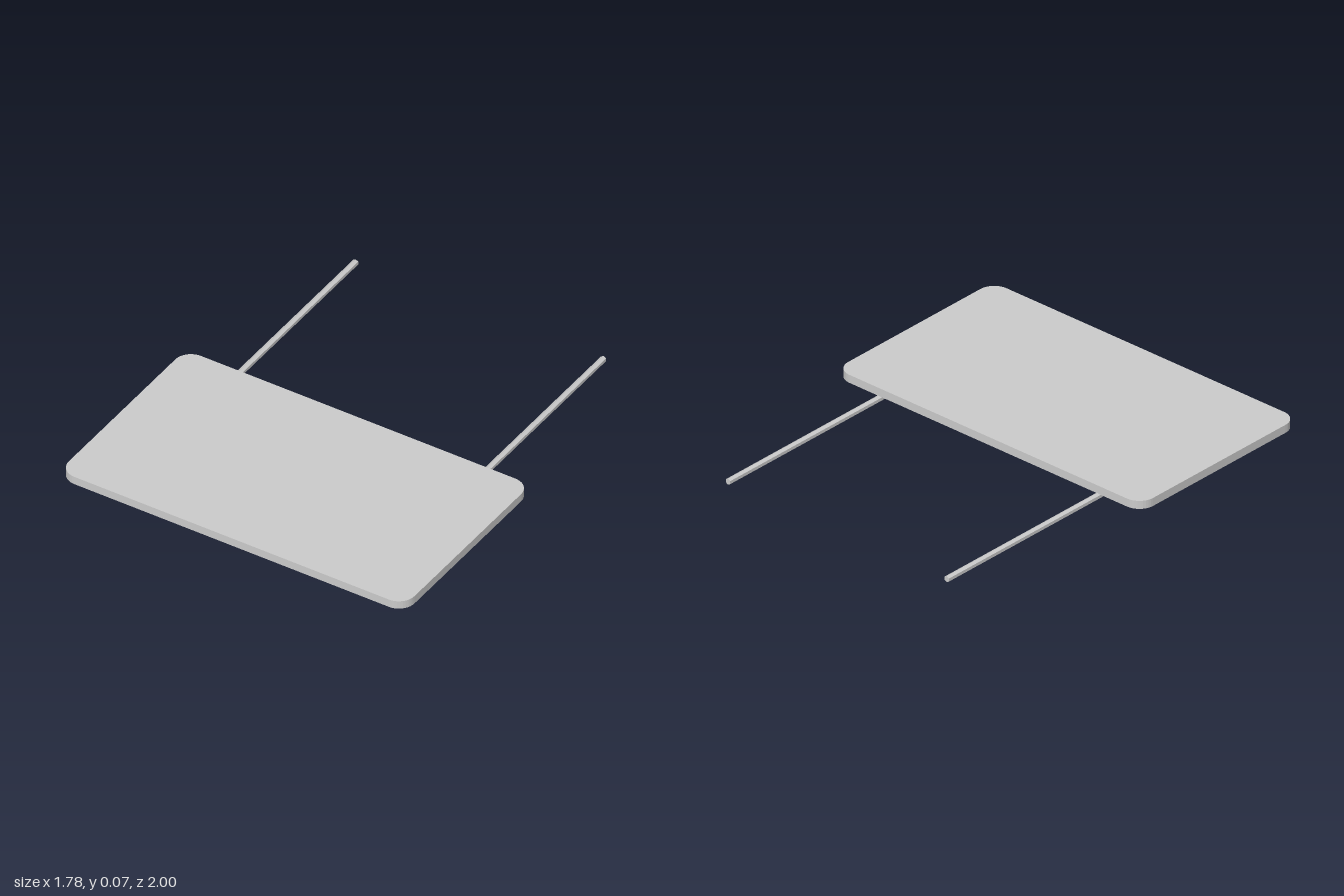
import * as THREE from 'three';

export function createModel() {
  const model = new THREE.Group();
  const material = new THREE.MeshStandardMaterial({ color: 0xcccccc, flatShading: true });

  // Flat panel with rounded corners, drawn in plan and laid down
  const halfX = 0.89, zBack = -0.02, zFront = 1, r = 0.08;
  const outline = new THREE.Shape();
  outline.absarc(halfX - r, zFront - r, r, 0, Math.PI / 2);
  outline.absarc(-halfX + r, zFront - r, r, Math.PI / 2, Math.PI);
  outline.absarc(-halfX + r, zBack + r, r, Math.PI, Math.PI * 1.5);
  outline.absarc(halfX - r, zBack + r, r, Math.PI * 1.5, Math.PI * 2);
  outline.closePath();
  const panelGeometry = new THREE.ExtrudeGeometry(outline, {
    depth: 0.04, bevelEnabled: false, curveSegments: 5,
  });
  panelGeometry.rotateX(Math.PI / 2); // plan y becomes z, thickness goes down
  const panel = new THREE.Mesh(panelGeometry, material);
  panel.name = 'panel';
  panel.position.y = 0.067;
  model.add(panel);

  // Hexagonal rods, ridge up, let slightly into the underside of the panel
  const rodRadius = 0.015, rodBack = -1, rodFront = 0.857;
  const rodGeometry = new THREE.CylinderGeometry(rodRadius, rodRadius, rodFront - rodBack, 6);
  rodGeometry.rotateX(Math.PI / 2);
  for (const side of [1, -1]) {
    const rod = new THREE.Mesh(rodGeometry, material);
    rod.name = side > 0 ? 'leftRod' : 'rightRod';
    rod.position.set(side * 0.638, rodRadius, (rodFront + rodBack) / 2);
    model.add(rod);
  }
  return model;
}
